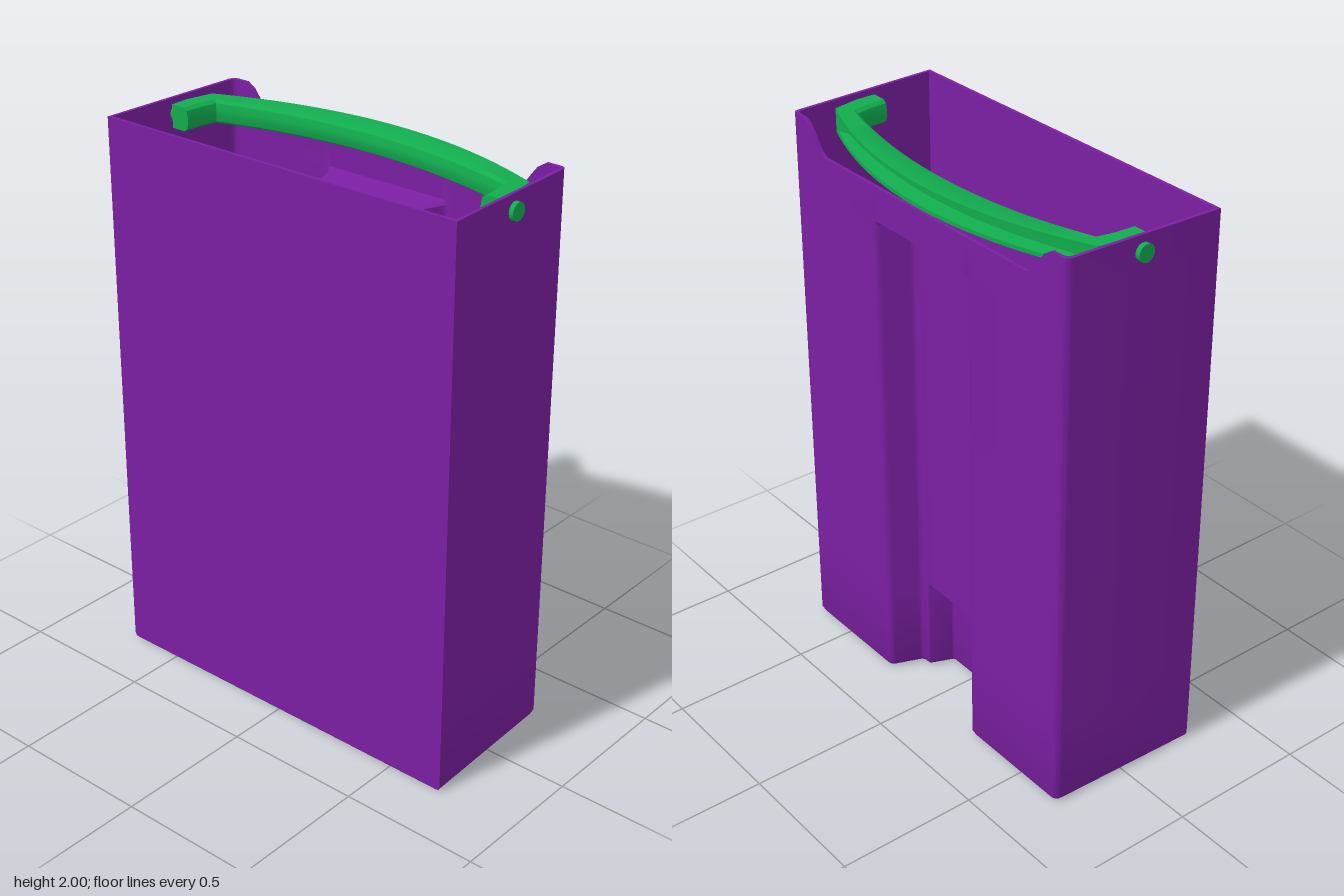
import * as THREE from 'three';
import { toCreasedNormals } from 'three/addons/utils/BufferGeometryUtils.js';

const PURPLE = new THREE.MeshStandardMaterial({ color: 0x7b1fa2, side: THREE.DoubleSide });
const GREEN = new THREE.MeshStandardMaterial({ color: 0x12ac4e, side: THREE.DoubleSide });

// Skin a list of closed rings (arrays of Vector3) and cap both ends; flat() maps a point to the cap plane
function loft(rings, flat) {
  const n = rings[0].length, index = [];
  for (let i = 0; i < rings.length - 1; i++) {
    for (let j = 0; j < n; j++) {
      const k = (j + 1) % n;
      const a = i * n + j, b = i * n + k, c = (i + 1) * n + k, d = (i + 1) * n + j;
      index.push(a, d, c, a, c, b);
    }
  }
  for (const r of [0, rings.length - 1]) {
    const tris = THREE.ShapeUtils.triangulateShape(rings[r].map(flat), []);
    for (const t of tris) index.push(...t.map((v) => v + r * n));
  }
  const geo = new THREE.BufferGeometry().setFromPoints(rings.flat());
  geo.setIndex(index);
  return toCreasedNormals(geo, 0.6);
}

// Replace each corner [x, z, radius] by a short curve
function roundCorners(corners) {
  const pts = corners.map((c) => new THREE.Vector2(c[0], c[1]));
  return pts.flatMap((p, i) => {
    const r = corners[i][2];
    if (!r) return [p];
    const prev = pts[(i + pts.length - 1) % pts.length], next = pts[(i + 1) % pts.length];
    const toward = (q) => p.clone().lerp(q, Math.min(0.45, r / Math.max(p.distanceTo(q), 1e-6)));
    return new THREE.QuadraticBezierCurve(toward(prev), p, toward(next)).getPoints(4);
  });
}

// Plan of the bin, inset by t; shallow and deep (0..1) push in the two recesses
function section(t, shallow, deep, backInset = t) {
  const face = 0.285 - t, x1 = face - 0.115 * shallow, x2 = x1 - 0.085 * deep;
  const half = [
    [x2, 0.12 + t, 0.008], [x1, 0.155 + t, 0.008],
    [x1, 0.19 + t, 0.015], [face, 0.235 + t, 0.02],
    ...[0.51, 0.53, 0.55, 0.57, 0.59, 0.62].map((z) => [face, z, 0]),
    [face, 0.69 - t, 0.025], [-0.288 + backInset, 0.711 - t, 0],
  ];
  const mirrored = half.map(([x, z, r]) => [x, -z, r]).reverse();
  return roundCorners([...mirrored, ...half]);
}

const level = (y, ...args) => section(...args).map((p) => new THREE.Vector3(p.x, y, p.y));

// Top edge, lowered along the face that the handle folds over
function rim(t) {
  const ring = level(2, t, 0, 0);
  for (const p of ring) {
    if (p.x > 0.2) p.y = 1.895 + 0.105 * THREE.MathUtils.smoothstep(Math.abs(p.z), 0.51, 0.62);
  }
  return ring;
}

function makeBin() {
  const t = 0.012;
  const rings = [
    // outside, upwards
    level(0, 0.018, 1, 1, 0.004), level(0.005, 0.006, 1, 1, 0), level(0.018, 0, 1, 1),
    level(0.335, 0, 1, 1), level(0.365, 0, 1, 0),
    level(1.76, 0, 1, 0), level(1.775, 0, 0, 0), level(1.87, 0, 0, 0), rim(0),
    // inside, downwards
    rim(t), level(1.87, t, 0, 0), level(1.775 + t, t, 0, 0), level(1.76 + t, t, 1, 0),
    level(0.365 + t, t, 1, 0), level(0.335 + t, t, 1, 1), level(0.015, t, 1, 1),
  ];
  const bin = new THREE.Mesh(loft(rings, (p) => new THREE.Vector2(p.x, p.z)), PURPLE);
  bin.name = 'bin';
  return bin;
}

// Handle: a bowed channel, open outwards, with solid ends
function makeHandle() {
  const ring = (ox, oz, ix, iz, groove) => [
    [0, 1.985], [0, 1.971], [groove, 1.964], [groove, 1.924], [0, 1.917], [0, 1.903],
    [0.75, 1.903], [0.93, 1.913], [1, 1.935], [1, 1.953], [0.93, 1.975], [0.75, 1.985],
  ].map(([u, y]) => new THREE.Vector3(ox + (ix - ox) * u, y, oz + (iz - oz) * u));
  const end = [[-0.03, 0.675, -0.03, 0.603, 0], [0.04, 0.675, 0.04, 0.598, 0]];
  const stations = [...end];
  for (let i = 0; i <= 32; i++) {
    const s = 1 - i / 16;
    const groove = Math.abs(s) > 0.9 ? 0 : 0.5;
    stations.push([0.285 - 0.145 * s * s, 0.655 * s, 0.18 - 0.09 * s * s, 0.588 * s, groove]);
  }
  for (const [ox, oz, ix, iz, g] of end.slice().reverse()) stations.push([ox, -oz, ix, -iz, g]);
  const rings = stations.map((s) => ring(...s));
  const bar = new THREE.Mesh(loft(rings, (p) => new THREE.Vector2(p.z, p.y)), GREEN);
  bar.name = 'handleBar';

  const handle = new THREE.Group();
  handle.name = 'handle';
  handle.add(bar);
  // Pivot pins through the side walls
  for (const side of [1, -1]) {
    const pin = new THREE.Mesh(new THREE.CylinderGeometry(0.03, 0.03, 0.06, 24), GREEN);
    pin.name = side > 0 ? 'frontPin' : 'backPin';
    pin.rotation.x = Math.PI / 2;
    pin.position.set(0.005, 1.945, side * 0.687);
    handle.add(pin);
  }
  return handle;
}

export function createModel() {
  const model = new THREE.Group();
  model.name = 'bin with handle';
  model.add(makeBin(), makeHandle());
  return model;
}
